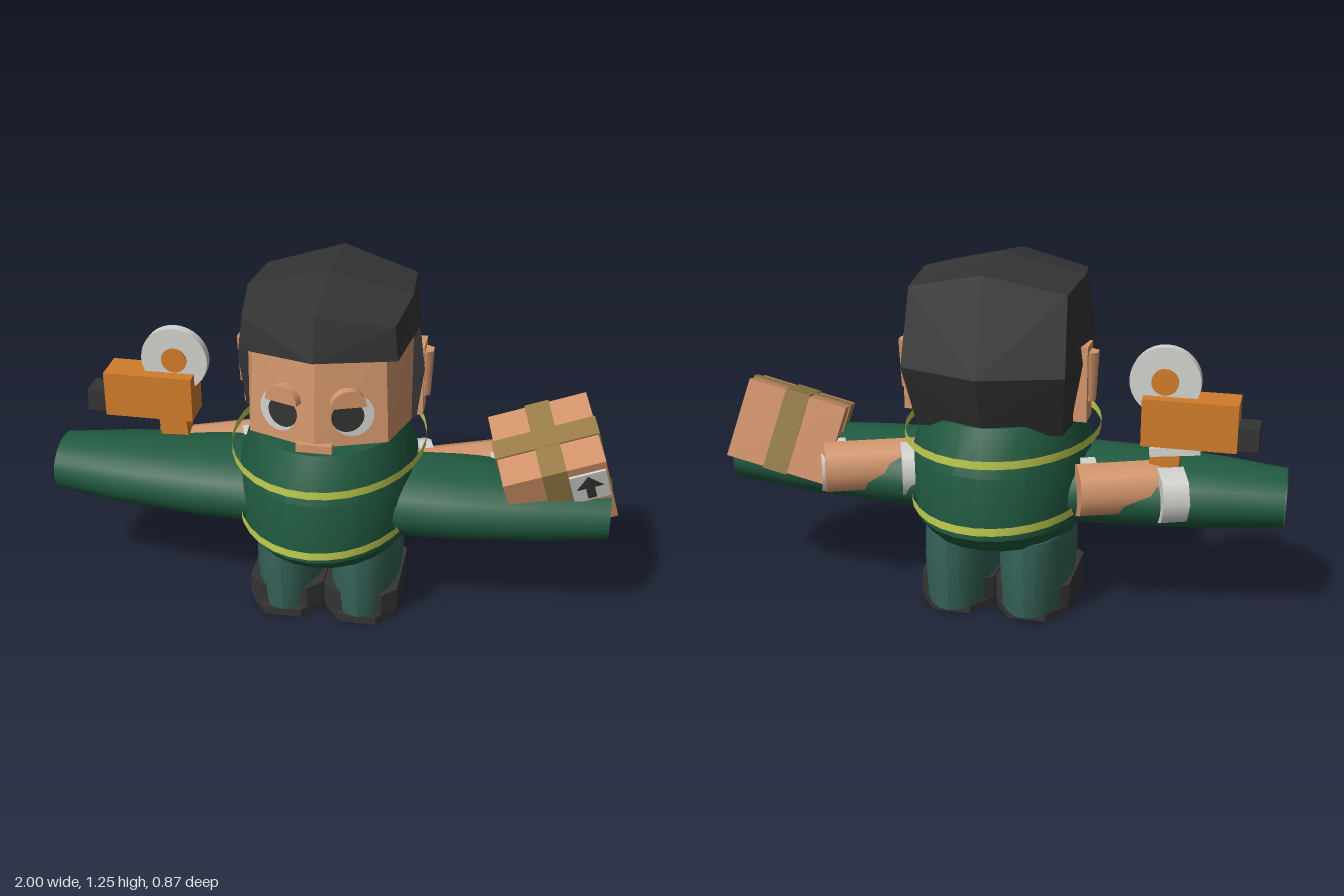
import * as THREE from 'three';
import { toCreasedNormals } from 'three/addons/utils/BufferGeometryUtils.js';

const mat = (name, color, side = THREE.FrontSide) => {
  const m = new THREE.MeshStandardMaterial({ color, side });
  m.name = name;
  return m;
};

export function createModel() {
  const skin = mat('skin', 0xd4966c);
  const card = mat('cardboard', 0xd09068);
  const tape = mat('packing tape', 0x967a45);
  const green = mat('jacket green', 0x215a40, THREE.DoubleSide);
  const teal = mat('trouser green', 0x366358);
  const dark = mat('charcoal', 0x343434);
  const yellow = mat('safety yellow', 0xc2ce50, THREE.DoubleSide);
  const white = mat('off white', 0xd2d2ce);
  const orange = mat('tool orange', 0xd07c2a);

  const model = new THREE.Group();
  model.name = 'deliveryWorker';
  const body = new THREE.Group();
  body.name = 'worker';
  body.position.x = -0.012;
  model.add(body);

  const add = (parent, name, geo, material, x = 0, y = 0, z = 0) => {
    const m = new THREE.Mesh(geo, material);
    m.name = name;
    m.position.set(x, y, z);
    parent.add(m);
    return m;
  };
  const box = (w, h, d) => new THREE.BoxGeometry(w, h, d);

  // Elliptical rings [height, radius x, radius z], listed from top to bottom
  const loft = (rings, sides, open = false) => {
    const k = rings.length - 1;
    const g = new THREE.CylinderGeometry(1, 1, 1, sides, k, open);
    const p = g.attributes.position;
    for (let i = 0; i < p.count; i++) {
      const [h, rx, rz] = rings[Math.round((0.5 - p.getY(i)) * k)];
      p.setXYZ(i, p.getX(i) * rx, h, p.getZ(i) * rz);
    }
    return toCreasedNormals(g, 0.5);
  };

  // Faceted solid from half the corners, mirrored across x
  const mirrored = (v, faces) => {
    const out = [];
    for (const f of faces) {
      for (let i = 1; i < f.length - 1; i++) {
        const [a, b, c] = [v[f[0]], v[f[i]], v[f[i + 1]]];
        out.push(...a, ...b, ...c);
        for (const q of [a, c, b]) out.push(-q[0], q[1], q[2]);
      }
    }
    const g = new THREE.BufferGeometry();
    g.setAttribute('position', new THREE.Float32BufferAttribute(out, 3));
    g.computeVertexNormals();
    return g;
  };

  // Upright prism with chamfered corners
  const chamfered = (hx, hz, cx, cz, h) => {
    const s = new THREE.Shape([
      [hx, -hz + cz], [hx, hz - cz], [hx - cx, hz], [-hx + cx, hz],
      [-hx, hz - cz], [-hx, -hz + cz], [-hx + cx, -hz], [hx - cx, -hz],
    ].map(([x, y]) => new THREE.Vector2(x, y)));
    return new THREE.ExtrudeGeometry(s, { depth: h, bevelEnabled: false }).rotateX(-Math.PI / 2);
  };

  // Jacket with two reflective bands
  add(body, 'jacket', loft([
    [0.735, 0.265, 0.33], [0.585, 0.31, 0.405], [0.365, 0.305, 0.405], [0.295, 0.27, 0.325],
  ], 24), green);
  for (const [y, rx] of [[0.645, 0.338], [0.41, 0.316]]) {
    add(body, 'reflectiveBand', loft([[0.014, rx, 0.433], [-0.014, rx, 0.433]], 32, true), yellow, 0, y);
  }
  add(body, 'pelvis', box(0.12, 0.04, 0.4), teal, 0, 0.288, -0.027);

  // Head
  add(body, 'face', mirrored([
    [0, 1.1, 0.275], [0.22, 1.1, 0.2], [0.285, 1.1, 0],
    [0, 0.75, 0.3], [0.235, 0.75, 0.215], [0.285, 0.73, 0],
    [0, 0.7, 0.2], [0.15, 0.7, 0.18], [0.2, 0.7, 0],
  ], [[3, 4, 1, 0], [4, 5, 2, 1], [6, 7, 4, 3], [7, 8, 5, 4]]), skin);
  add(body, 'mouth', box(0.12, 0.03, 0.04), skin, 0, 0.748, 0.288);

  // Hair: crown, fringe, sides, back and underside
  add(body, 'hair', mirrored([
    [0, 1.21, 0.285], [0.25, 1.165, 0.215], [0, 1.065, 0.32], [0.262, 1.05, 0.22],
    [0, 1.255, 0], [0.28, 1.19, 0], [0.305, 1.08, 0], [0.325, 0.92, -0.005], [0.3, 0.73, -0.01],
    [0, 1.24, -0.3], [0.265, 1.175, -0.24], [0.275, 0.92, -0.315], [0.25, 0.69, -0.22],
    [0, 0.92, -0.405], [0, 0.73, -0.325], [0, 0.73, 0], [0, 1.08, 0],
  ], [
    [2, 3, 1, 0], [0, 1, 5, 4], [3, 6, 5, 1], [4, 5, 10, 9], [6, 7, 11, 10, 5],
    [7, 8, 12, 11], [10, 11, 13, 9], [11, 12, 14, 13], [12, 8, 15, 14],
    [3, 2, 16, 6], [8, 7, 6, 16, 15],
  ]), dark);

  for (const s of [1, -1]) {
    // Ear in its gap in the hair
    add(body, 'earBase', box(0.045, 0.26, 0.095), skin, s * 0.295, 0.85, -0.1);
    add(body, 'ear', new THREE.CylinderGeometry(0.035, 0.026, 0.17, 6), skin, s * 0.315, 0.87, -0.095);

    // Eye plates lying on the slanted face
    const eye = new THREE.Group();
    eye.name = 'eye';
    eye.position.set(s * 0.112, 0.862, 0.266);
    eye.rotation.y = s * 0.347;
    body.add(eye);
    add(eye, 'eyeWhite', new THREE.CircleGeometry(1, 24).scale(0.07, 0.076, 1), white, s * 0.014, 0, 0);
    add(eye, 'pupil', new THREE.CircleGeometry(0.055, 24), dark, s * -0.006, 0, 0.006);
    add(eye, 'eyelid', new THREE.CylinderGeometry(0.06, 0.06, 0.03, 16, 1, false, Math.PI / 2, Math.PI)
      .rotateX(Math.PI / 2), skin, s * -0.004, 0.036, 0);

    // Leg and shoe
    add(body, 'leg', loft([[0.31, 0.128, 0.258], [0.2, 0.131, 0.264], [0.03, 0.122, 0.248]], 20),
      teal, s * 0.135, 0, -0.027);
    add(body, 'sole', chamfered(0.131, 0.22, 0.065, 0.09, 0.03), dark, s * 0.135, 0, -0.005);
    add(body, 'shoe', chamfered(0.133, 0.186, 0.05, 0.05, 0.08), dark, s * 0.135, 0.03, 0.003);

    // Open sleeve, with the forearm and glove cuffs pushing through its back
    add(body, 'sleeve', loft([
      [0.985, 0.097, 0.128], [0.75, 0.117, 0.172], [0.45, 0.13, 0.207], [0.2, 0.135, 0.21],
    ], 24, true).rotateZ(-s * Math.PI / 2), green, 0, 0.45, 0.012);
    const tube = (name, r, len, m, x, y, z) =>
      add(body, name, new THREE.CylinderGeometry(r, r, len, 8).rotateX(Math.PI / 8)
        .rotateZ(Math.PI / 2).toNonIndexed(), m, s * x, y, z);
    tube('forearm', 0.095, 0.34, skin, 0.45, 0.485, -0.112);
    tube('gloveCuff', 0.1, 0.09, white, 0.6, 0.47, -0.107);
    tube('innerCuff', 0.1, 0.05, white, 0.32, 0.485, -0.118);
  }

  // Tape dispenser in the right hand
  const tool = new THREE.Group();
  tool.name = 'tapeDispenser';
  tool.position.set(-0.58, 0, -0.063);
  model.add(tool);
  add(tool, 'dispenserBody', box(0.32, 0.165, 0.128), orange, -0.09, 0.727, 0);
  add(tool, 'dispenserNozzle', box(0.07, 0.08, 0.1), dark, -0.285, 0.69, 0);
  add(tool, 'dispenserHandle', box(0.1, 0.13, 0.07), orange, -0.008, 0.58, 0).rotation.z = 0.08;
  add(tool, 'gloveThumb', box(0.17, 0.03, 0.06), white, -0.045, 0.632, -0.03).rotation.z = -0.12;
  add(tool, 'tapeRoll', new THREE.CylinderGeometry(0.12, 0.12, 0.036, 32).rotateX(Math.PI / 2), white, 0, 0.86, 0);
  add(tool, 'rollHub', new THREE.CylinderGeometry(0.046, 0.046, 0.048, 20).rotateX(Math.PI / 2), orange, 0, 0.86, 0);

  // Tilted parcel resting on the left arm
  const parcel = new THREE.Group();
  parcel.name = 'parcel';
  parcel.position.set(0.765, 0.57, -0.04);
  const ax = new THREE.Vector3(0.33, 0.1, -0.055).normalize();
  const az = new THREE.Vector3().crossVectors(ax, new THREE.Vector3(-0.08, 0.253, 0.093)).normalize();
  const ay = new THREE.Vector3().crossVectors(az, ax);
  parcel.quaternion.setFromRotationMatrix(new THREE.Matrix4().makeBasis(ax, ay, az));
  model.add(parcel);
  const [w, h, d] = [0.35, 0.28, 0.34];
  add(parcel, 'parcelBox', box(w, h, d), card);
  add(parcel, 'tapeAcross', box(w + 0.012, h + 0.012, 0.085), tape);
  add(parcel, 'tapeAlong', box(0.085, h + 0.01, d + 0.01), tape);

  // Label with an upward arrow
  add(parcel, 'label', box(0.125, 0.125, 0.008), white, 0.105, 0.045, d / 2 + 0.004);
  const arrow = new THREE.Shape([
    [-0.015, -0.05], [0.015, -0.05], [0.015, 0], [0.045, 0], [0, 0.052], [-0.045, 0], [-0.015, 0],
  ].map(([x, y]) => new THREE.Vector2(x, y)));
  add(parcel, 'labelArrow', new THREE.ExtrudeGeometry(arrow, { depth: 0.005, bevelEnabled: false }),
    dark, 0.105, 0.045, d / 2 + 0.007);

  return model;
}
